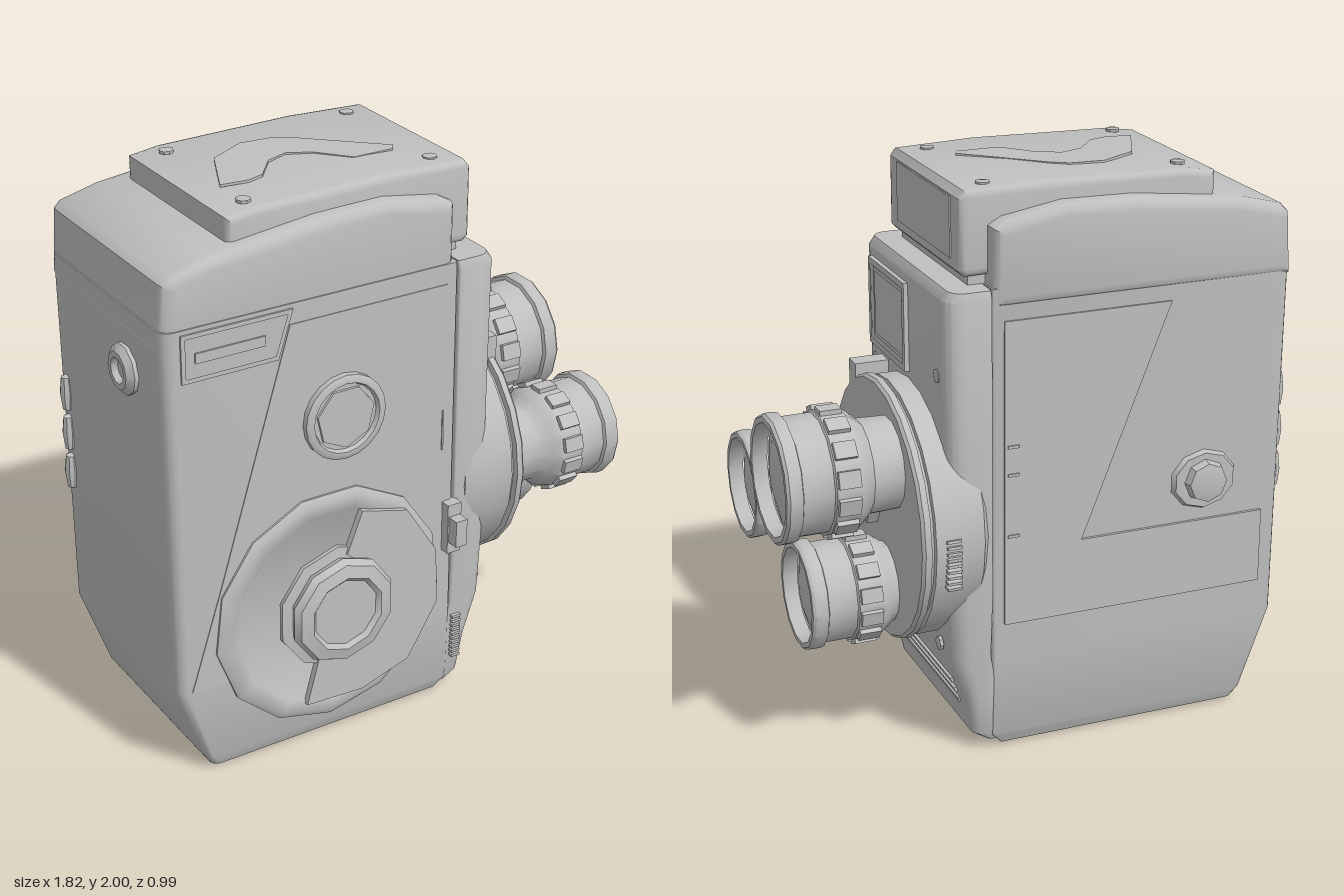
import * as THREE from 'three';
import { toCreasedNormals } from 'three/addons/utils/BufferGeometryUtils.js';

const metal = new THREE.MeshStandardMaterial({ color: 0xbfbfbf });
metal.name = 'grey metal';

export function createModel() {
  const model = new THREE.Group();
  model.name = 'movieCamera';

  const add = (name, geometry, pos = [0, 0, 0], parent = model) => {
    const mesh = new THREE.Mesh(geometry, metal);
    mesh.name = name;
    mesh.position.set(...pos);
    parent.add(mesh);
    return mesh;
  };

  // Turned part: profile of [radius, height], its axis pointed along a direction
  const turned = (name, profile, sides, dir, pos, parent) => {
    const g = new THREE.LatheGeometry(profile.map(([r, h]) => new THREE.Vector2(r, h)), sides);
    if (dir === '+x') g.rotateZ(-Math.PI / 2);
    if (dir === '-x') g.rotateZ(Math.PI / 2);
    if (dir === '+z') g.rotateX(Math.PI / 2);
    if (dir === '-z') g.rotateX(-Math.PI / 2);
    return add(name, toCreasedNormals(g, 0.65), pos, parent);
  };

  // Flat plate with optional holes, lying on a side of the camera
  const plate = (name, points, depth, dir, pos, holes = []) => {
    const flip = dir === '+x' || dir === '-z' || dir === '+y' ? -1 : 1;
    const vec = (list) => list.map(([a, b]) => dir === '+y'
      ? new THREE.Vector2(a, -b) : new THREE.Vector2(a * flip, b));
    const shape = new THREE.Shape(vec(points));
    holes.forEach((h) => shape.holes.push(new THREE.Path(vec(h))));
    const g = new THREE.ExtrudeGeometry(shape, { depth, bevelEnabled: false });
    if (dir === '+x') g.rotateY(Math.PI / 2);
    if (dir === '-z') g.rotateY(Math.PI);
    if (dir === '+y') g.rotateX(-Math.PI / 2);
    return add(name, g, pos);
  };
  const rect = (a0, a1, b0, b1) => [[a0, b0], [a1, b0], [a1, b1], [a0, b1]];

  // Side profile extruded across z with rounded long edges
  const slab = (name, points, z0, z1, bevel) => {
    const g = new THREE.ExtrudeGeometry(new THREE.Shape(points.map((p) => new THREE.Vector2(...p))), {
      depth: z1 - z0 - 2 * bevel, bevelThickness: bevel, bevelSize: bevel, bevelOffset: -bevel, bevelSegments: 3,
    });
    g.translate(0, 0, z0 + bevel);
    return add(name, toCreasedNormals(g, 0.6), [0, 0, 0]);
  };

  // Upright shell through rounded rectangles [y, x0, x1, z0, z1, rear radius, front radius]
  const loft = (name, sections) => {
    const steps = 4, n = 4 * (steps + 1), verts = [], index = [];
    sections.forEach(([y, x0, x1, z0, z1, rr, rf]) => {
      [[x1 - rf, z1 - rf, rf], [x0 + rr, z1 - rr, rr], [x0 + rr, z0 + rr, rr], [x1 - rf, z0 + rf, rf]]
        .forEach(([cx, cz, r], q) => {
          for (let i = 0; i <= steps; i++) {
            const t = (q + i / steps) * Math.PI / 2;
            verts.push(cx + r * Math.cos(t), y, cz + r * Math.sin(t));
          }
        });
    });
    const last = sections.length - 1;
    for (let s = 0; s < last; s++) for (let i = 0; i < n; i++) {
      const a = s * n + i, b = s * n + (i + 1) % n;
      index.push(a, a + n, b, b, a + n, b + n);
    }
    for (let i = 1; i < n - 1; i++) {
      index.push(0, i, i + 1, last * n, last * n + i + 1, last * n + i);
    }
    const g = new THREE.BufferGeometry();
    g.setAttribute('position', new THREE.Float32BufferAttribute(verts, 3));
    g.setIndex(index);
    return add(name, toCreasedNormals(g, 0.6));
  };

  // Housing, nose and hood
  loft('mainBody', [
    [0.01, -0.74, 0.17, -0.37, 0.37, 0.03, 0.01],
    [0.05, -0.765, 0.205, -0.385, 0.385, 0.03, 0.01],
    [0.35, -0.87, 0.21, -0.4, 0.39, 0.04, 0.01],
    [1.67, -0.88, 0.21, -0.405, 0.39, 0.04, 0.01],
  ]);
  add('basePlate', new THREE.BoxGeometry(0.84, 0.02, 0.66), [-0.29, 0.01, 0]);
  loft('nose', [
    [0.03, 0.16, 0.22, -0.37, 0.37, 0.01, 0.02],
    [0.06, 0.16, 0.27, -0.38, 0.38, 0.01, 0.04],
    [0.2, 0.18, 0.3, -0.39, 0.385, 0.01, 0.05],
    [0.36, 0.215, 0.355, -0.4, 0.39, 0.01, 0.06],
    [0.6, 0.215, 0.365, -0.42, 0.395, 0.01, 0.06],
    [1.64, 0.215, 0.37, -0.42, 0.395, 0.01, 0.06],
    [1.67, 0.215, 0.35, -0.41, 0.385, 0.01, 0.05],
  ]);
  slab('hood', [[-0.88, 1.6], [0.205, 1.6], [0.205, 1.87], [0.16, 1.895], [-0.05, 1.93],
    [-0.3, 1.925], [-0.7, 1.88], [-0.84, 1.845], [-0.865, 1.82]], -0.415, 0.385, 0.04);

  // Viewfinder housing
  slab('finderHousing', [[-0.61, 1.72], [0.28, 1.7], [0.3, 1.72], [0.3, 1.96], [0.28, 1.985],
    [0, 1.995], [-0.5, 1.985], [-0.61, 1.97]], -0.35, 0.325, 0.025);
  add('finderFoot', new THREE.BoxGeometry(0.25, 0.06, 0.62), [0.14, 1.69, -0.015]);
  plate('finderPanel', rect(-0.27, 0.23, 1.75, 1.955), 0.006, '+x', [0.299, 0, 0]);
  plate('topPlate', [[-0.52, 0.12], [-0.42, -0.1], [-0.28, -0.18], [-0.16, -0.17], [-0.1, -0.13],
    [0.14, 0.1], [0.12, 0.13], [-0.03, 0.13], [-0.12, 0.02], [-0.2, -0.02], [-0.28, 0.01],
    [-0.36, 0.11], [-0.42, 0.13]], 0.009, '+y', [0, 1.988, 0]);
  for (const [x, z] of [[-0.51, -0.26], [0.19, -0.27], [-0.51, 0.25], [0.19, 0.24]]) {
    turned('finderScrew', [[0.025, 0], [0.025, 0.01], [0, 0.014]], 8, '+y', [x, 1.984, z]);
  }

  // Nose face: window, screws and vents
  const frames = [[0, 0.022, 0.02], [0.03, 0.015, 0.012]];
  for (const [inset, width, depth] of frames) {
    const [a, b, c, d] = [-0.045 + inset, 0.315 - inset, 1.3 + inset, 1.61 - inset];
    plate('windowFrame', rect(a, b, c, d), depth, '+x', [0.365, 0, 0],
      [rect(a + width, b - width, c + width, d - width)]);
  }
  for (const [z, y] of [[-0.31, 1.37], [0.3, 1.24], [0.31, 0.4], [-0.3, 0.4]]) {
    turned('noseScrew', [[0.025, 0], [0.025, 0.012], [0, 0.016]], 8, '+x', [0.36, y, z]);
  }
  for (const y of [0.17, 0.21, 0.25]) {
    const vent = add('ventRib', new THREE.BoxGeometry(0.02, 0.018, 0.59), [0.3 + (y - 0.2) * 0.34, y, -0.005]);
    vent.rotation.z = -0.33;
  }

  // Lens turret
  const cy = 0.82, cz = -0.03;
  turned('turret', [[0, 0.2], [0.37, 0.22], [0.43, 0.26], [0.455, 0.35], [0.455, 0.44], [0.44, 0.443],
    [0.44, 0.455], [0.462, 0.458], [0.462, 0.48], [0.452, 0.49], [0, 0.49]], 24, '+x', [0, cy, cz]);
  turned('turretHub', [[0.065, 0], [0.065, 0.04], [0.03, 0.06], [0, 0.06]], 6, '+x', [0.488, cy, cz + 0.03]);
  add('turretCatch', new THREE.BoxGeometry(0.12, 0.15, 0.07), [0.43, 1.2, 0.2]);
  for (let i = 0; i < 9; i++) {
    const t = (i - 4) * 0.045;
    const tooth = add('turretTooth', new THREE.BoxGeometry(0.05, 0.01, 0.03),
      [0.38, cy - 0.05 + Math.sin(t) * 0.46, cz - Math.cos(t) * 0.455]);
    tooth.rotation.x = t;
  }

  // Lenses: flared barrel, grip ring, hollow mouth with glass
  const lens = (y, z, r, ring, tip) => {
    const group = new THREE.Group();
    group.name = 'lens';
    group.position.set(0, y, z);
    model.add(group);
    const end = ring + 0.085;
    turned('barrel', [[r * 0.72, 0.48], [r * 0.74, ring - 0.06], [r * 0.86, ring - 0.03], [r * 0.96, ring],
      [r * 0.96, end], [r * 0.92, end + 0.005], [r * 0.92, tip - 0.06], [r * 0.98, tip - 0.055],
      [r, tip - 0.04], [r, tip - 0.01], [r * 0.96, tip], [r * 0.87, tip], [r * 0.82, tip - 0.05]],
    14, '+x', [0, 0, 0], group);
    turned('glass', [[r * 0.84, tip - 0.055], [r * 0.5, tip - 0.035], [0, tip - 0.028]], 14, '+x', [0, 0, 0], group);
    for (let i = 0; i < 14; i++) {
      const t = i / 14 * Math.PI * 2;
      const grip = add('grip', new THREE.BoxGeometry(0.075, 0.025, r * 0.26),
        [ring + 0.043, Math.cos(t) * r * 0.955, Math.sin(t) * r * 0.955], group);
      grip.rotation.x = t;
    }
  };
  lens(1.035, -0.17, 0.222, 0.655, 0.91);
  lens(0.85, 0.265, 0.192, 0.64, 0.885);
  lens(0.575, -0.11, 0.192, 0.56, 0.81);

  // Front side: panel, nameplate frame, dial
  plate('frontPanel', [[-0.43, 1.6], [0.17, 1.6], [0.17, 0.35], [-0.82, 0.35], [-0.7, 0.72]], 0.005, '+z', [0, 0, 0.388]);
  plate('badgeFrame', [[-0.82, 1.655], [-0.42, 1.655], [-0.475, 1.49], [-0.82, 1.49]], 0.009, '+z', [0, 0, 0.388],
    [[[-0.805, 1.64], [-0.44, 1.64], [-0.485, 1.505], [-0.805, 1.505]]]);
  plate('badgeBar', rect(-0.77, -0.52, 1.55, 1.585), 0.008, '+z', [0, 0, 0.388]);
  turned('dial', [[0.152, 0], [0.152, 0.025], [0.14, 0.032], [0.125, 0.032], [0.118, 0.018], [0, 0.018]],
    20, '+z', [-0.235, 1.23, 0.39]);
  turned('dialCap', [[0.115, 0], [0.11, 0.025], [0, 0.025]], 7, '+z', [-0.235, 1.23, 0.39]);
  plate('frontMark', rect(0.157, 0.163, 0.99, 1.14), 0.009, '+z', [0, 0, 0.388]);

  // Winding disc, crank plate and knob
  turned('windingDisc', [[0.442, 0], [0.442, 0.012], [0.42, 0.025], [0.375, 0.025], [0.365, 0.018], [0, 0.018]],
    13, '+z', [-0.29, 0.525, 0.388]);
  plate('crankPlate', [[-0.18, 0.87], [0.0, 0.82], [0.12, 0.63], [0.13, 0.42], [0.01, 0.22], [-0.18, 0.16],
    [-0.4, 0.17], [-0.35, 0.35], [-0.15, 0.4], [-0.1, 0.6], [-0.24, 0.72]], 0.025, '+z', [0, 0, 0.405]);
  turned('windingKnob', [[0.23, 0], [0.23, 0.02], [0.19, 0.025], [0.2, 0.05], [0.185, 0.075], [0.14, 0.085],
    [0.125, 0.07], [0, 0.07]], 10, '+z', [-0.27, 0.525, 0.4]);

  // Release switch and speed wheel at the seam
  add('releaseSwitch', new THREE.BoxGeometry(0.055, 0.19, 0.06), [0.195, 0.69, 0.4]);
  add('releaseLever', new THREE.BoxGeometry(0.045, 0.1, 0.05), [0.195, 0.69, 0.45]);
  for (let i = 0; i < 10; i++) {
    add('speedTooth', new THREE.BoxGeometry(0.035, 0.01, 0.03), [0.235, 0.14 + i * 0.018, 0.387]);
  }

  // Far side: stepped panel and oval lock
  plate('rearPanel', [[0.17, 1.56], [-0.43, 1.56], [-0.11, 0.75], [-0.8, 0.75], [-0.8, 0.48], [0.17, 0.48]],
    0.012, '-z', [0, 0, -0.4]);
  for (const y of [0.8, 1.02, 1.12]) {
    plate('rearMark', rect(0.12, 0.16, y, y + 0.01), 0.006, '-z', [0, 0, -0.411]);
  }
  turned('lockBase', [[0.11, 0], [0.1, 0.02], [0, 0.02]], 10, '-z', [-0.57, 0.9, -0.4]).scale.x = 1.15;
  turned('lockKnob', [[0.08, 0], [0.07, 0.04], [0.05, 0.045], [0, 0.045]], 8, '-z', [-0.57, 0.9, -0.41]);

  // Back end: eyepiece and hinge
  turned('eyepiece', [[0.088, 0], [0.088, 0.02], [0.065, 0.04], [0.045, 0.04], [0.035, 0.02], [0, 0.02]],
    10, '-x', [-0.872, 1.455, 0.13]);
  for (const y of [0.87, 1.02, 1.17]) {
    turned('hingeKnuckle', [[0, -0.07], [0.018, -0.06], [0.025, 0], [0.018, 0.06], [0, 0.07]], 8, '+y', [-0.88, y, -0.34]);
  }
  return model;
}
